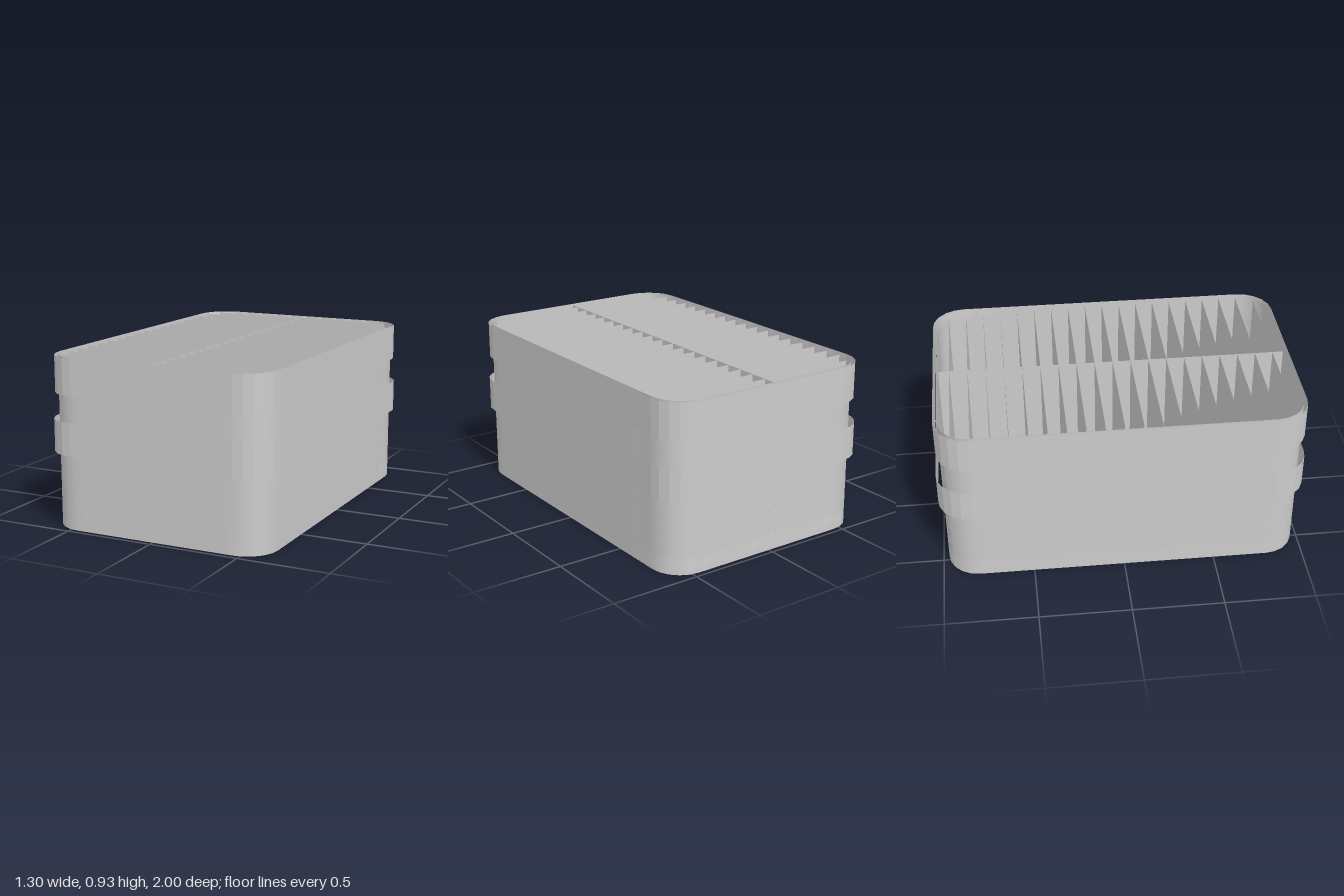
import * as THREE from 'three';

const HEIGHT = 0.93;
const smooth = new THREE.MeshStandardMaterial({ color: 0xcccccc, side: THREE.DoubleSide });
const faceted = new THREE.MeshStandardMaterial({ color: 0xcccccc, side: THREE.DoubleSide, flatShading: true });

// Rounded rectangle as [x, z] points; straight runs are cut into steps of about `step`
function outline(hx, hz, r, step) {
  const corners = [];
  [[1, 1], [-1, 1], [-1, -1], [1, -1]].forEach(([sx, sz], q) => {
    for (let i = 0; i <= 5; i++) {
      const a = (q + i / 5) * Math.PI / 2;
      corners.push([sx * (hx - r) + r * Math.cos(a), sz * (hz - r) + r * Math.sin(a)]);
    }
  });
  const points = [];
  corners.forEach(([x, z], i) => {
    const [nx, nz] = corners[(i + 1) % corners.length];
    const n = Math.max(1, Math.round(Math.hypot(nx - x, nz - z) / step));
    for (let k = 0; k < n; k++) points.push([x + (nx - x) * k / n, z + (nz - z) * k / n]);
  });
  return points;
}

// Upright thin sheet that follows a closed outline; `pinch` scales single points inward
function ribbon(points, y0, y1, rows, pinch = () => 1) {
  const position = [], index = [], n = points.length;
  for (let j = 0; j <= rows; j++) {
    points.forEach(([x, z], i) => {
      const s = pinch(x, z, i, j);
      position.push(x * s, y0 + (y1 - y0) * j / rows, z * s);
    });
  }
  for (let j = 0; j < rows; j++) {
    for (let i = 0; i < n; i++) {
      const a = j * n + i, b = j * n + (i + 1) % n;
      index.push(a, a + n, b, b, a + n, b + n);
    }
  }
  const geometry = new THREE.BufferGeometry();
  geometry.setAttribute('position', new THREE.Float32BufferAttribute(position, 3));
  geometry.setIndex(index);
  geometry.computeVertexNormals();
  return geometry;
}

export function createModel() {
  const group = new THREE.Group();
  const add = (name, geometry, material, parent = group) => {
    const mesh = new THREE.Mesh(geometry, material);
    mesh.name = name;
    parent.add(mesh);
    return mesh;
  };

  // Main wall, lightly dimpled on the back and the right-hand side
  const rows = 17;
  const dimple = (x, z, i, j) => {
    const quilted = z < -0.65 || (x < -0.6 && z < 0.8);
    return quilted && i % 2 === 0 && j % 2 === 0 && j > 0 && j < rows ? 0.988 : 1;
  };
  add('wall', ribbon(outline(0.632, 0.97, 0.17, 0.05), 0, HEIGHT, rows, dimple), smooth);

  // Raised bands around the wall
  add('topBand', ribbon(outline(0.647, 0.99, 0.18, 9), 0.73, HEIGHT, 1), faceted);
  add('middleBand', ribbon(outline(0.652, 1, 0.18, 9), 0.41, 0.59, 1), faceted);

  // Cross fins, shortened where the corners curve in
  const fins = new THREE.Group();
  fins.name = 'fins';
  group.add(fins);
  const hx = 0.605, hz = 0.95, r = 0.16;
  for (let i = -9; i <= 9; i++) {
    const z = i * 0.1;
    const d = Math.max(0, Math.abs(z) - (hz - r));
    const half = hx - r + Math.sqrt(r * r - d * d);
    add('fin', new THREE.PlaneGeometry(2 * half, HEIGHT), faceted, fins).position.set(0, HEIGHT / 2, z);
  }

  // Lengthwise divider
  const divider = add('divider', new THREE.PlaneGeometry(1.92, HEIGHT), faceted);
  divider.rotation.y = Math.PI / 2;
  divider.position.y = HEIGHT / 2;

  return group;
}
